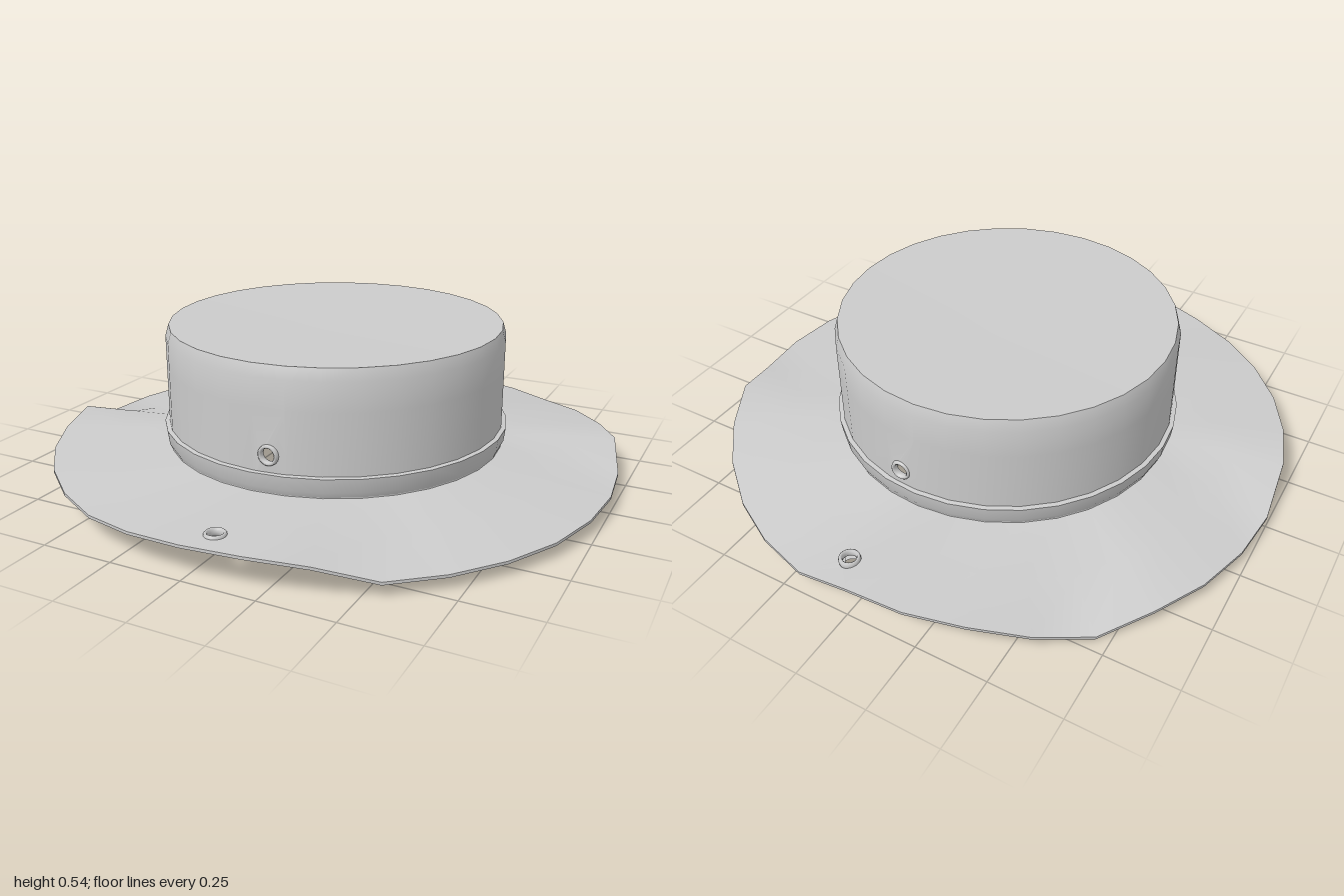
import * as THREE from 'three';
import { mergeGeometries, mergeVertices, toCreasedNormals } from 'three/addons/utils/BufferGeometryUtils.js';

const SIDES = 32, STEP = Math.PI * 2 / SIDES;
const BRIM_IN = 0.59, BRIM_TOP = 0.12, BRIM_BOTTOM = 0.085, THICK = 0.01;
const EYELET_X = 0.06, HOLE = 0.025;

// Height of the wavy brim edge at each of its corners, from the front towards +x
const EDGE = [
  0.115, 0.115, 0.1, 0.05, 0.05, 0.05, 0.05, 0.055,
  0.06, 0.065, 0.12, 0.1, 0.085, 0.065, 0.065, 0.066,
  0.118, 0.105, 0.09, 0.05, 0.01, 0.045, 0.045, 0.045,
  0.045, 0.122, 0.11, 0.105, 0.1, 0.095, 0.093, 0.105,
];

function edgeHeight(angle) {
  const s = angle / STEP, k = Math.floor(s + 1e-6), f = Math.max(0, s - k);
  return THREE.MathUtils.lerp(EDGE[k % SIDES], EDGE[(k + 1) % SIDES], f);
}

const outward = r => (r - BRIM_IN) / (1 - BRIM_IN);
const topHeight = (a, r) => THREE.MathUtils.lerp(BRIM_TOP, edgeHeight(a), outward(r));
const bottomHeight = (a, r) => THREE.MathUtils.lerp(BRIM_BOTTOM, edgeHeight(a) - THICK, outward(r));

// Sheet laid out in (angle, v) cells, with round holes, then wrapped by map(angle, v)
function sheet(rows, holes, map) {
  const cells = [];
  for (let k = 0; k < SIDES; k++) {
    for (let j = 0; j + 1 < rows.length; j++) {
      const u0 = k * STEP, u1 = u0 + STEP, v0 = rows[j], v1 = rows[j + 1];
      const shape = new THREE.Shape([[u0, v0], [u1, v0], [u1, v1], [u0, v1]].map(p => new THREE.Vector2(...p)));
      for (const h of holes) {
        if (h.u < u0 || h.u > u1 || h.v < v0 || h.v > v1) continue;
        shape.holes.push(new THREE.Path().absellipse(h.u, h.v, HOLE / h.radius, HOLE, 0, Math.PI * 2, true));
      }
      cells.push(new THREE.ShapeGeometry(shape, 8));
    }
  }
  const geo = mergeGeometries(cells);
  const pos = geo.attributes.position;
  for (let i = 0; i < pos.count; i++) {
    const a = pos.getX(i);
    const [r, y] = map(a, pos.getY(i));
    pos.setXYZ(i, r * Math.sin(a), y, r * Math.cos(a));
  }
  geo.deleteAttribute('uv');
  geo.deleteAttribute('normal');
  const welded = mergeVertices(geo, 1e-4);
  welded.computeVertexNormals();
  return toCreasedNormals(welded, 0.6);
}

export function createModel() {
  const group = new THREE.Group();
  const mat = new THREE.MeshStandardMaterial({ color: 0xcccccc, side: THREE.DoubleSide });
  const add = (name, geo) => {
    const mesh = new THREE.Mesh(geo, mat);
    mesh.name = name;
    group.add(mesh);
    return mesh;
  };
  const lathe = points => toCreasedNormals(
    new THREE.LatheGeometry(points.map(p => new THREE.Vector2(...p)), SIDES), 0.6);

  // Front and back hole at given distances from the axis
  const holesAt = (front, back, v) => {
    const a = Math.asin(EYELET_X / front), b = Math.PI - Math.asin(EYELET_X / back);
    return [{ u: a, v: v(front), radius: front }, { u: b, v: v(back), radius: back }];
  };

  // Brim: top face, underside sloping in to the opening, and thin outer edge
  add('brimTop', sheet([-1, -0.8, -BRIM_IN], holesAt(0.902, 0.892, r => -r), (a, v) => [-v, topHeight(a, -v)]));
  add('brimUnderside', sheet([0.6, 0.8, 1], holesAt(0.902, 0.892, r => r), (a, v) => [v, bottomHeight(a, v)]));
  add('brimEdge', sheet([0, 1], [], (a, v) => [1, edgeHeight(a) - THICK * (1 - v)]));

  // Hollow crown: outer wall narrowing at the top, and inner lining
  const crownRadius = y => 0.595 - 0.012 * Math.max(0, (y - 0.5) / 0.04);
  const liningRadius = y => 0.585 + 0.015 * Math.max(0, (0.2 - y) / 0.115);
  add('crownWall', sheet([0.12, 0.4, 0.5, 0.54], holesAt(0.595, 0.595, () => 0.25), (a, y) => [crownRadius(y), y]));
  add('crownLining', sheet([-0.465, -0.2, -BRIM_BOTTOM], holesAt(0.585, 0.585, () => -0.25),
    (a, v) => [liningRadius(-v), -v]));

  // Faintly dished top, with the ceiling a little below it
  add('crownTop', lathe([[0.583, 0.54], [0, 0.53]]));
  add('crownCeiling', new THREE.CircleGeometry(0.585, SIDES).rotateX(Math.PI / 2)).position.y = 0.465;

  // Band around the foot of the crown
  add('hatBand', lathe([[0.593, 0.118], [0.605, 0.142], [0.611, 0.19], [0.594, 0.192]]));

  // Eyelets through the brim and the crown, front and back
  const ring = new THREE.TorusGeometry(0.029, 0.007, 8, 24).scale(1, 1, 2);
  for (const side of [1, -1]) {
    const brimEyelet = add('brimEyelet', ring);
    brimEyelet.rotation.x = Math.PI / 2;
    brimEyelet.position.set(EYELET_X, 0.112, side > 0 ? 0.9 : -0.89);
    add('crownEyelet', ring).position.set(EYELET_X, 0.25, side * 0.588);
  }
  return group;
}
